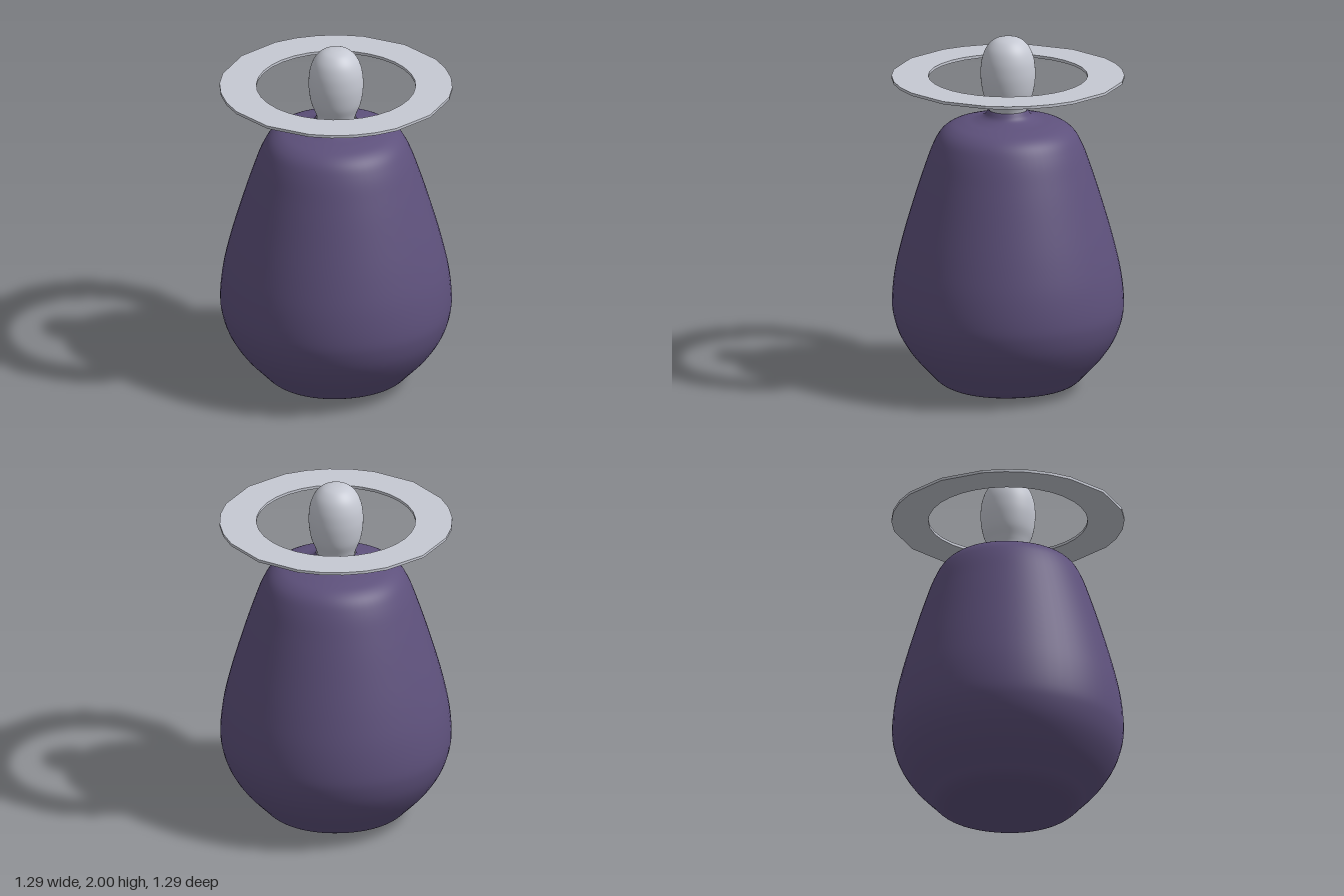
import * as THREE from 'three';

const purple = new THREE.MeshStandardMaterial({ color: 0x5e517c });
purple.name = 'purple robe';
const paleGrey = new THREE.MeshStandardMaterial({ color: 0xc6c9d3 });
paleGrey.name = 'pale grey';

// Smooth turned solid from a few [radius, height] points, bottom to top,
// made very slightly square in plan.
function turned(name, profile, material, steps) {
  const curve = new THREE.CatmullRomCurve3(
    profile.map(([r, y]) => new THREE.Vector3(r, y, 0)), false, 'centripetal');
  const points = curve.getPoints(steps).map(
    (p) => new THREE.Vector2(Math.max(0, p.x), Math.min(2, Math.max(0, p.y))));
  const geometry = new THREE.LatheGeometry(points, 64);
  const pos = geometry.attributes.position;
  for (let i = 0; i < pos.count; i++) {
    const x = pos.getX(i), z = pos.getZ(i);
    const k = 1 + 0.01 * (1 - Math.cos(4 * Math.atan2(z, x)));
    pos.setX(i, x * k);
    pos.setZ(i, z * k);
  }
  const mesh = new THREE.Mesh(geometry, material);
  mesh.name = name;
  return mesh;
}

export function createModel() {
  const group = new THREE.Group();
  group.name = 'haloFigure';

  // Bell-shaped body with rounded shoulders and a short collar
  group.add(turned('body', [
    [0, 0], [0.2, 0.006], [0.32, 0.018], [0.385, 0.045], [0.44, 0.1],
    [0.53, 0.2], [0.6, 0.315], [0.632, 0.42], [0.638, 0.5], [0.624, 0.65],
    [0.585, 0.83], [0.52, 1.06], [0.463, 1.24], [0.412, 1.38], [0.37, 1.453],
    [0.32, 1.492], [0.25, 1.515], [0.18, 1.53], [0.13, 1.553], [0.108, 1.588],
  ], purple, 100));

  // Egg-shaped head and neck
  group.add(turned('head', [
    [0.098, 1.54], [0.103, 1.585], [0.115, 1.622], [0.137, 1.68], [0.149, 1.75],
    [0.151, 1.81], [0.142, 1.88], [0.118, 1.94], [0.08, 1.98], [0.04, 1.996], [0, 2],
  ], paleGrey, 60));

  // Flat halo: faceted outer rim with wider facets on the diagonals
  const rim = [];
  for (let q = 0; q < 4; q++) {
    for (const a of [0, 11.25, 22.5, 45, 67.5, 78.75]) {
      const t = THREE.MathUtils.degToRad(q * 90 + a);
      rim.push(new THREE.Vector2(0.643 * Math.cos(t), 0.643 * Math.sin(t)));
    }
  }
  const shape = new THREE.Shape(rim);
  const hole = new THREE.Path();
  hole.absarc(0, 0, 0.44, 0, Math.PI * 2, true);
  shape.holes.push(hole);
  const haloGeometry = new THREE.ExtrudeGeometry(shape, {
    depth: 0.016, bevelEnabled: false, curveSegments: 16,
  });
  haloGeometry.rotateX(-Math.PI / 2);
  const halo = new THREE.Mesh(haloGeometry, paleGrey);
  halo.name = 'halo';
  halo.position.y = 1.763;
  group.add(halo);

  return group;
}
